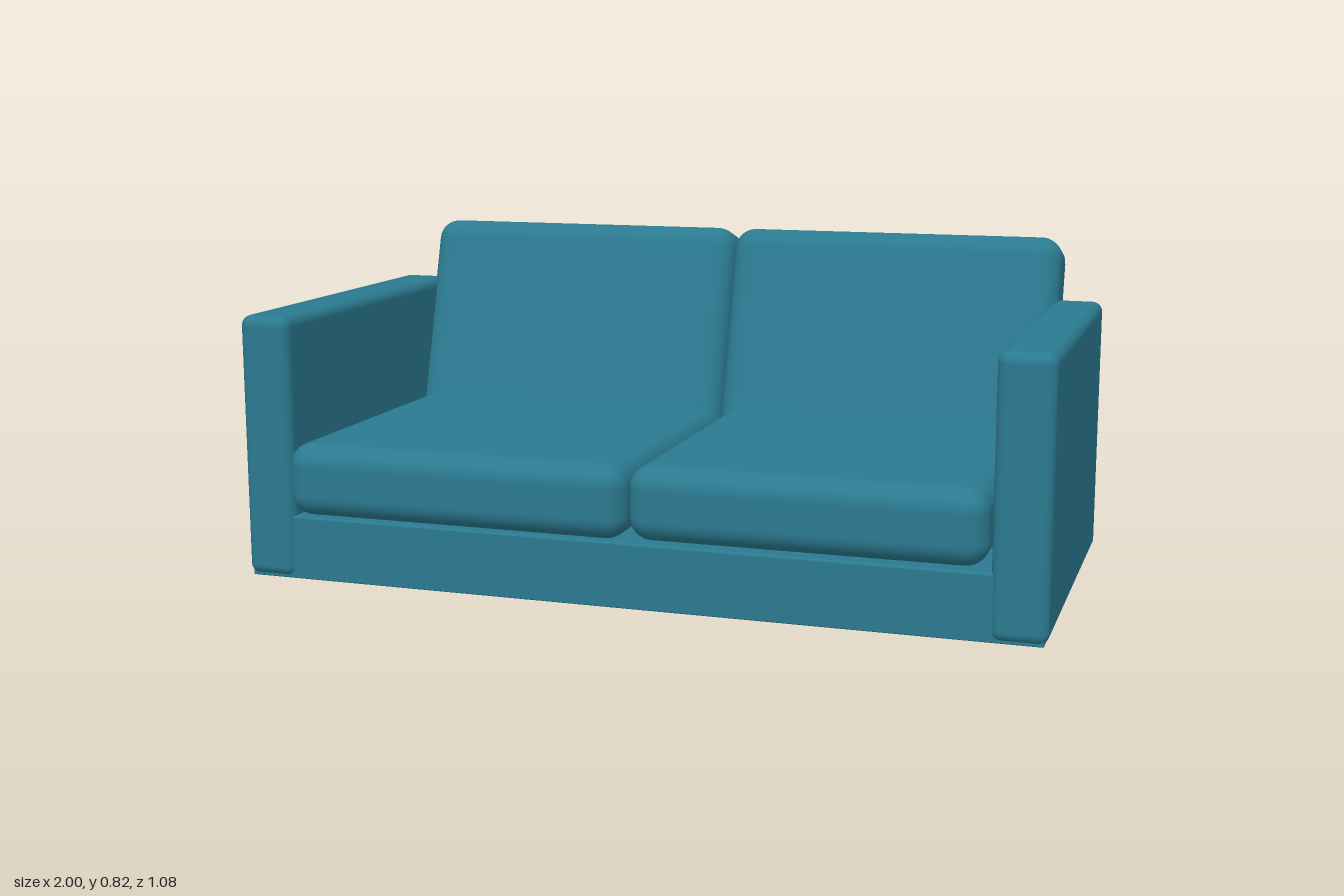
import * as THREE from 'three';
import { RoundedBoxGeometry } from 'three/addons/geometries/RoundedBoxGeometry.js';

export function createModel() {
  const sofa = new THREE.Group();
  sofa.name = 'sofa';
  const fabric = new THREE.MeshStandardMaterial({ color: 0x2b7a90 });

  // Rounded block given by its [min, max] range on each axis
  function block(name, [x0, x1], [y0, y1], [z0, z1], radius) {
    const geometry = new RoundedBoxGeometry(x1 - x0, y1 - y0, z1 - z0, 5, radius);
    const mesh = new THREE.Mesh(geometry, fabric);
    mesh.name = name;
    mesh.position.set((x0 + x1) / 2, (y0 + y1) / 2, (z0 + z1) / 2);
    sofa.add(mesh);
    return mesh;
  }

  // Base between the arms, and the flat underside that spans the full width
  block('base', [-0.88, 0.88], [0, 0.16], [-0.405, 0.512], 0.006);
  block('underside', [-0.99, 0.99], [0, 0.02], [-0.405, 0.512], 0.003);

  // Arms
  block('leftArm', [0.868, 1], [0.003, 0.66], [-0.415, 0.522], 0.026);
  block('rightArm', [-1, -0.868], [0.003, 0.66], [-0.415, 0.522], 0.026);

  // Seat cushions, the right one slightly larger
  block('rightSeatCushion', [-0.88, 0.006], [0.163, 0.345], [-0.33, 0.537], 0.055);
  block('leftSeatCushion', [0.006, 0.858], [0.163, 0.345], [-0.33, 0.522], 0.055);

  // Back cushions lean backwards, their lower ends sunk into the base
  const lean = THREE.MathUtils.degToRad(16.5);
  const length = 0.71, thickness = 0.177;
  const topY = 0.808, topZ = -0.468;
  for (const [name, x0, x1] of [
    ['rightBackCushion', -0.885, 0.004],
    ['leftBackCushion', 0.002, 0.89],
  ]) {
    const cushion = block(name, [x0, x1], [0, length], [0, thickness], 0.055);
    cushion.rotation.x = -lean;
    cushion.position.y = topY - Math.cos(lean) * length / 2;
    cushion.position.z = topZ + Math.sin(lean) * length / 2;
  }

  return sofa;
}
